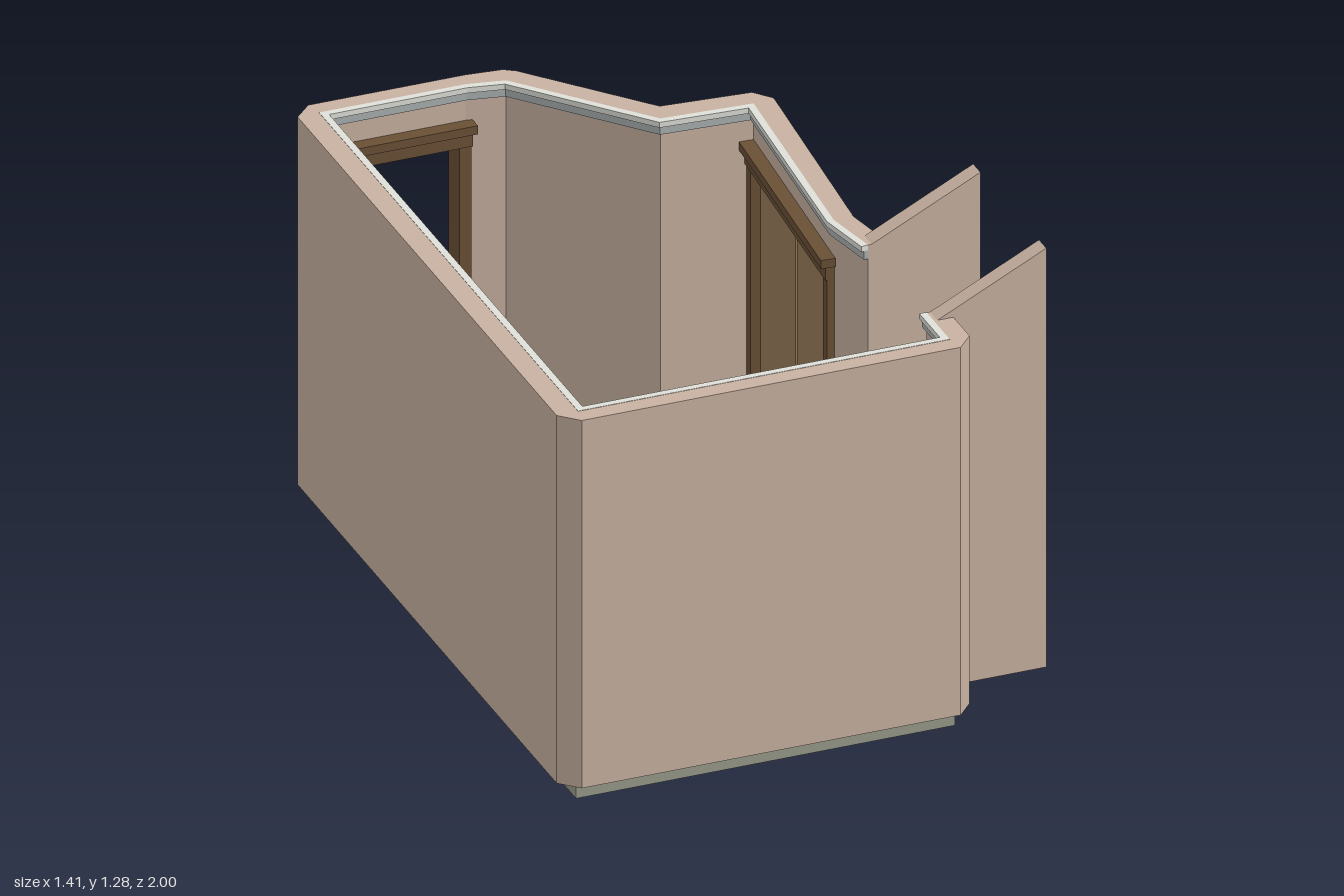
import * as THREE from 'three';

const mat = (name, color) => {
  const m = new THREE.MeshStandardMaterial({ color });
  m.name = name;
  return m;
};

const FLOOR = 0.05, TOP = 1.13, DOOR_TOP = 0.975;

export function createModel() {
  const plaster = mat('plaster', 0xc8b1a1);
  const stone = mat('stone', 0x989a8b);
  const wood = mat('door wood', 0x997d5b);
  const darkWood = mat('dark wood', 0x6a5036);
  const paleTrim = mat('pale trim', 0xdfe0d8);
  const greyTrim = mat('grey trim', 0xa9b0b0);

  const model = new THREE.Group();
  model.name = 'room';

  const add = (parent, name, geometry, material) => {
    const mesh = new THREE.Mesh(geometry, material);
    mesh.name = name;
    parent.add(mesh);
    return mesh;
  };

  // Upright prism over a floor plan of [x, z] points
  const slab = (name, plan, y0, y1, material) => {
    const shape = new THREE.Shape(plan.map(([x, z]) => new THREE.Vector2(x, -z)));
    const g = new THREE.ExtrudeGeometry(shape, { depth: y1 - y0, bevelEnabled: false });
    g.rotateX(-Math.PI / 2).translate(0, y0, 0);
    return add(model, name, g, material);
  };

  // Box given by its limits on each axis
  const box = (parent, name, [x0, x1], [y0, y1], [z0, z1], material) => {
    const g = new THREE.BoxGeometry(x1 - x0, y1 - y0, z1 - z0);
    g.translate((x0 + x1) / 2, (y0 + y1) / 2, (z0 + z1) / 2);
    return add(parent, name, g, material);
  };

  // Inner wall line, from the front of the alcove round to its back
  const inner = [
    [0.39, 0.79], [0.39, 0.95], [-0.65, 0.95], [-0.65, -0.82], [-0.24, -0.82],
    [-0.135, -0.80], [0.155, -0.455], [0.41, -0.44], [0.36, 0.23], [0.39, 0.39],
  ];

  // Mitred offset of the inner line, positive towards the room
  const offset = (d) => inner.map((p, i) => {
    const normal = (a, b) => new THREE.Vector2(a[1] - b[1], b[0] - a[0]).normalize();
    const before = i > 0 ? normal(inner[i - 1], p) : normal(p, inner[1]);
    const after = i < inner.length - 1 ? normal(p, inner[i + 1]) : before;
    const k = d / (1 + before.dot(after));
    return [p[0] + (before.x + after.x) * k, p[1] + (before.y + after.y) * k];
  });

  // Floor plate
  slab('floor', offset(-0.01), 0, FLOOR, stone);

  // Walls in three runs between the openings
  slab('frontAndLeftWall', [
    [0.445, 0.79], [0.445, 0.95], [0.40, 1.0], [-0.66, 1.0], [-0.71, 0.95],
    [-0.71, -0.82], [-0.66, -0.87], [-0.63, -0.87], [-0.63, -0.82],
    [-0.65, -0.82], [-0.65, 0.95], [0.39, 0.95], [0.39, 0.79],
  ], FLOOR, TOP, plaster);
  slab('backWall', [
    [-0.25, -0.87], [-0.22, -0.87], [-0.12, -0.86], [-0.09, -0.84], [0.18, -0.52],
    [0.43, -0.50], [0.47, -0.45], [0.468, -0.42], [0.4085, -0.42], [0.41, -0.44],
    [0.155, -0.455], [-0.135, -0.80], [-0.24, -0.82], [-0.25, -0.82],
  ], FLOOR, TOP, plaster);
  slab('alcoveCornerWall', [
    [0.4165, 0.215], [0.415, 0.23], [0.435, 0.34], [0.445, 0.39],
    [0.39, 0.39], [0.36, 0.23], [0.361, 0.215],
  ], FLOOR, TOP, plaster);
  slab('backDoorHeader', [
    [-0.63, -0.87], [-0.25, -0.87], [-0.25, -0.82], [-0.63, -0.82],
  ], DOOR_TOP, TOP, plaster);
  slab('sideDoorHeader', [
    [0.468, -0.42], [0.4165, 0.215], [0.361, 0.215], [0.4085, -0.42],
  ], DOOR_TOP, TOP, plaster);

  // Two-tier moulding along the top of the inner walls
  const moulding = (name, width, y0, y1, material) =>
    slab(name, [...offset(0), ...offset(width).reverse()], y0, y1, material);
  moulding('upperMoulding', 0.02, 1.115, TOP + 0.001, paleTrim);
  moulding('lowerMoulding', 0.012, 1.09, 1.115, greyTrim);

  // Alcove side walls with sloping tops
  for (const [name, z] of [['alcoveFrontWall', 0.79], ['alcoveBackWall', 0.34]]) {
    const side = new THREE.Shape([
      new THREE.Vector2(0.40, FLOOR), new THREE.Vector2(0.705, FLOOR),
      new THREE.Vector2(0.705, 1.28), new THREE.Vector2(0.40, TOP),
    ]);
    const g = new THREE.ExtrudeGeometry(side, { depth: 0.05, bevelEnabled: false });
    add(model, name, g.translate(0, 0, z), plaster);
  }

  // Steps rising outwards through the alcove
  [[0.39, 0.50, 0.12], [0.50, 0.605, 0.195], [0.605, 0.704, 0.27]].forEach(([x0, x1, y], i) =>
    box(model, `alcoveStep${i + 1}`, [x0, x1], [FLOOR, y], [0.39, 0.79], stone));

  // Door frame: local x points out of the room, local z runs along the wall
  const doorFrame = (name, x, z, angle, half) => {
    const frame = new THREE.Group();
    frame.name = name;
    frame.position.set(x, 0, z);
    frame.rotation.y = angle;
    for (const s of [-1, 1]) {
      const span = (a, b) => [Math.min(s * a, s * b), Math.max(s * a, s * b)];
      box(frame, 'jamb', [-0.01, 0.052], [FLOOR, DOOR_TOP], span(half - 0.016, half + 0.002), darkWood);
      box(frame, 'innerCasing', [-0.02, 0], [FLOOR, DOOR_TOP], span(half - 0.016, half + 0.018), darkWood);
    }
    box(frame, 'head', [-0.01, 0.052], [DOOR_TOP - 0.016, DOOR_TOP + 0.002], [-half, half], darkWood);
    box(frame, 'innerHeadCasing', [-0.025, 0], [DOOR_TOP - 0.016, 1.0], [-half - 0.02, half + 0.02], darkWood);
    box(frame, 'headCap', [-0.04, 0], [1.0, 1.025], [-half - 0.028, half + 0.028], darkWood);
    model.add(frame);
    return frame;
  };

  // Closed pair of doors in the slanting right wall
  const sideDoor = doorFrame('sideDoor', 0.385, -0.103, Math.atan2(-0.05, 0.67), 0.32);
  for (const [a, b] of [[-0.304, -0.014], [0.002, 0.304]]) {
    box(sideDoor, 'doorLeaf', [0.008, 0.028], [0.06, 0.96], [a, b], wood);
  }

  // Back doorway with its leaf swung into the room
  doorFrame('backDoor', -0.44, -0.82, Math.PI / 2, 0.19);
  const leaf = box(model, 'openDoorLeaf', [-0.01, 0.01], [0.06, 0.955], [0, 0.33], wood);
  leaf.position.set(-0.615, 0, -0.785);
  leaf.rotation.y = Math.atan2(0.10, 0.31);

  // Doorstep outside the back door
  box(model, 'doorstep', [-0.63, -0.265], [0.012, FLOOR], [-1.0, -0.825], plaster);

  return model;
}
